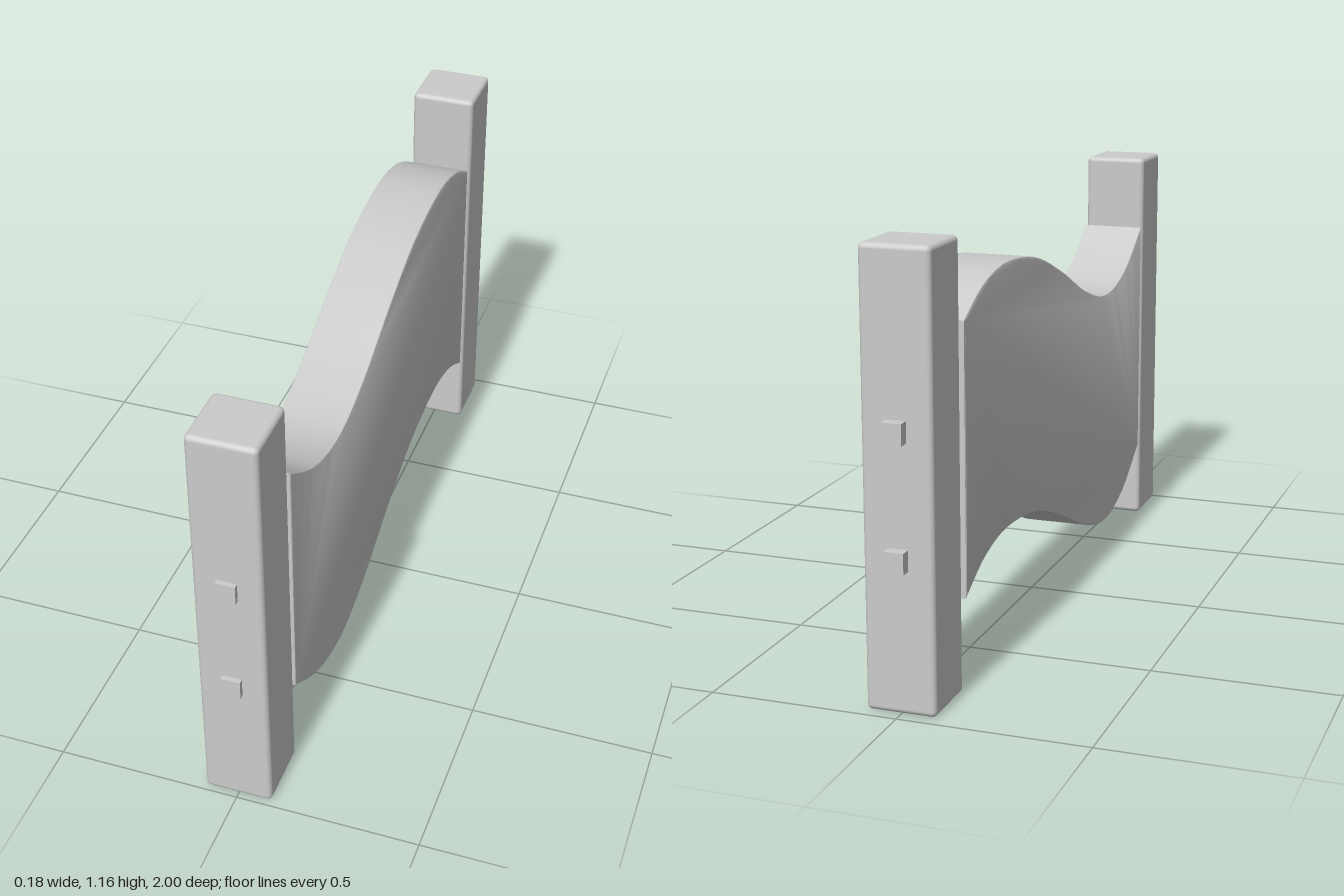
import * as THREE from 'three';
import { toCreasedNormals } from 'three/addons/utils/BufferGeometryUtils.js';
import { RoundedBoxGeometry } from 'three/addons/geometries/RoundedBoxGeometry.js';

const WIDTH = 0.184;
const PANEL_HEIGHT = 0.71;

export function createModel() {
  const group = new THREE.Group();
  const material = new THREE.MeshStandardMaterial({ color: 0xcccccc });

  const add = (name, geometry, y = 0, z = 0) => {
    const mesh = new THREE.Mesh(geometry, material);
    mesh.name = name;
    mesh.position.set(0, y, z);
    group.add(mesh);
  };

  // Upright posts with softly rounded edges
  const post = new RoundedBoxGeometry(WIDTH, 1.16, 0.186, 3, 0.014);
  add('frontPost', post, 0.58, 0.893);
  add('backPost', post, 0.58, -0.877);

  // Wavy panel: one S-curve for the top edge, the same curve lowered for the bottom
  const wave = new THREE.SplineCurve([
    [-0.785, 0.945], [-0.61, 0.836], [-0.42, 0.797], [-0.22, 0.843], [0, 0.938],
    [0.22, 1.014], [0.45, 1.04], [0.62, 1.012], [0.757, 0.945],
  ].map(([u, y]) => new THREE.Vector2(u, y))).getPoints(56);
  const lower = wave.map((p) => new THREE.Vector2(p.x, p.y - PANEL_HEIGHT)).reverse();
  const bevel = 0.006;
  const panel = new THREE.ExtrudeGeometry(new THREE.Shape([...wave, ...lower]), {
    depth: WIDTH - 2 * bevel,
    bevelThickness: bevel,
    bevelSize: bevel,
    bevelOffset: -bevel,
    bevelSegments: 2,
  });
  panel.translate(0, 0, bevel - WIDTH / 2);
  panel.rotateY(Math.PI / 2);
  add('wavyPanel', toCreasedNormals(panel, 0.5));

  // Square rails running through both posts and the panel
  const rail = new THREE.BoxGeometry(0.052, 0.054, 2);
  add('lowerRail', rail, 0.397);
  add('upperRail', rail, 0.715);

  return group;
}
